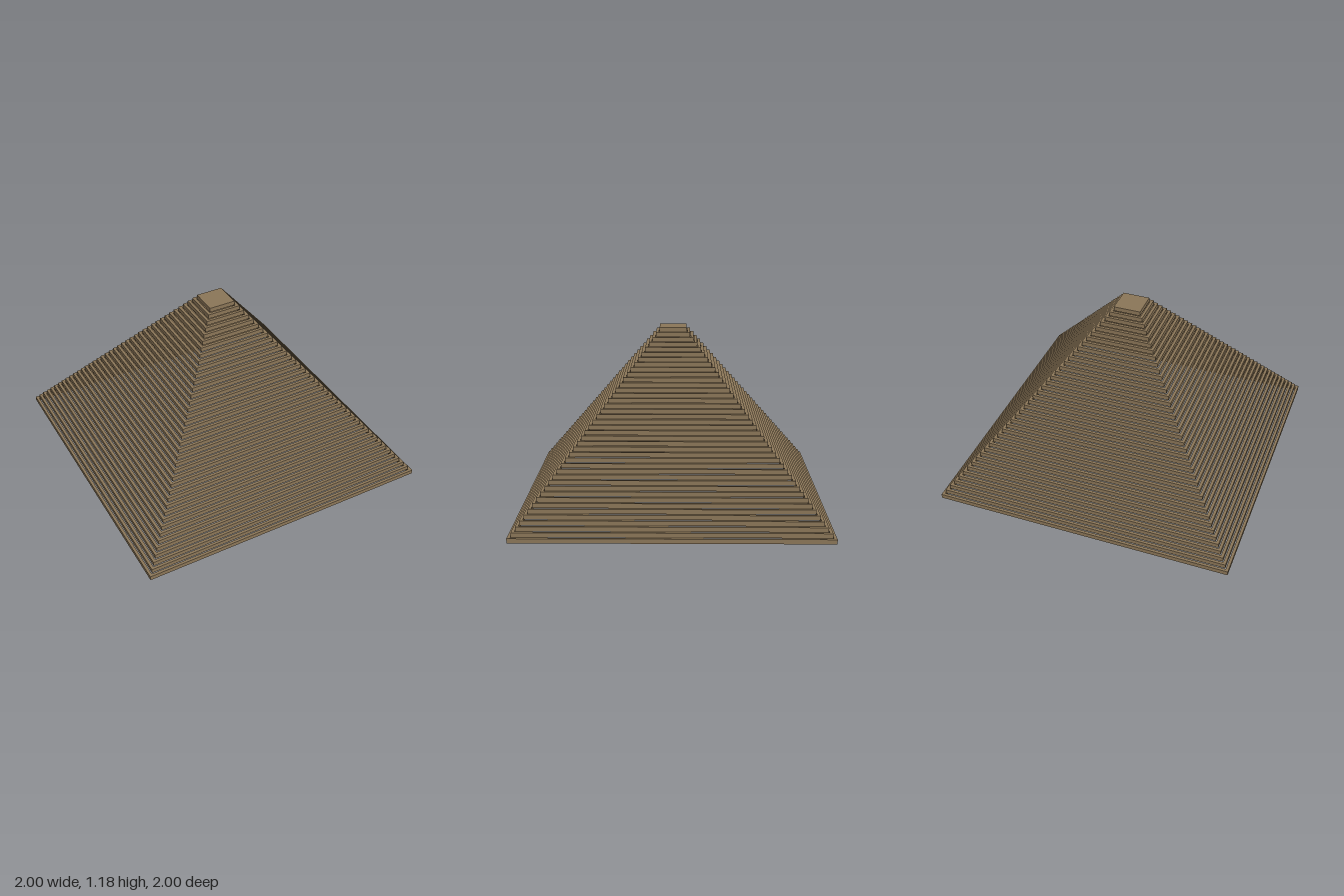
import * as THREE from 'three';

const LAYERS = 40;
const HEIGHT = 1.184;
const BASE_HALF = 1;
const TOP_HALF = 0.09;
const BEAM = 0.019; // beam width, slightly less than the step so slits stay open

// Flat square frame of the given outer half-width, standing on y = 0
function frameGeometry(half, height) {
  const square = (r) => [[-r, -r], [r, -r], [r, r], [-r, r]].map(([x, y]) => new THREE.Vector2(x, y));
  const shape = new THREE.Shape(square(half));
  shape.holes.push(new THREE.Path(square(half - BEAM).reverse()));
  const geometry = new THREE.ExtrudeGeometry(shape, { depth: height, bevelEnabled: false });
  return geometry.rotateX(-Math.PI / 2);
}

export function createModel() {
  const model = new THREE.Group();
  model.name = 'steppedPyramid';

  const wood = new THREE.MeshStandardMaterial({ color: 0x8b7658 });
  wood.name = 'weatheredWood';

  const layerHeight = HEIGHT / LAYERS;
  const step = (BASE_HALF - TOP_HALF) / (LAYERS - 1);

  // Hollow stack of shrinking square frames, open underneath
  for (let i = 0; i < LAYERS - 1; i++) {
    const frame = new THREE.Mesh(frameGeometry(BASE_HALF - i * step, layerHeight), wood);
    frame.name = `frame${i + 1}`;
    frame.position.y = i * layerHeight;
    model.add(frame);
  }

  // Solid slab closing the top
  const cap = new THREE.Mesh(new THREE.BoxGeometry(TOP_HALF * 2, layerHeight, TOP_HALF * 2), wood);
  cap.name = 'capSlab';
  cap.position.y = HEIGHT - layerHeight / 2;
  model.add(cap);

  return model;
}
